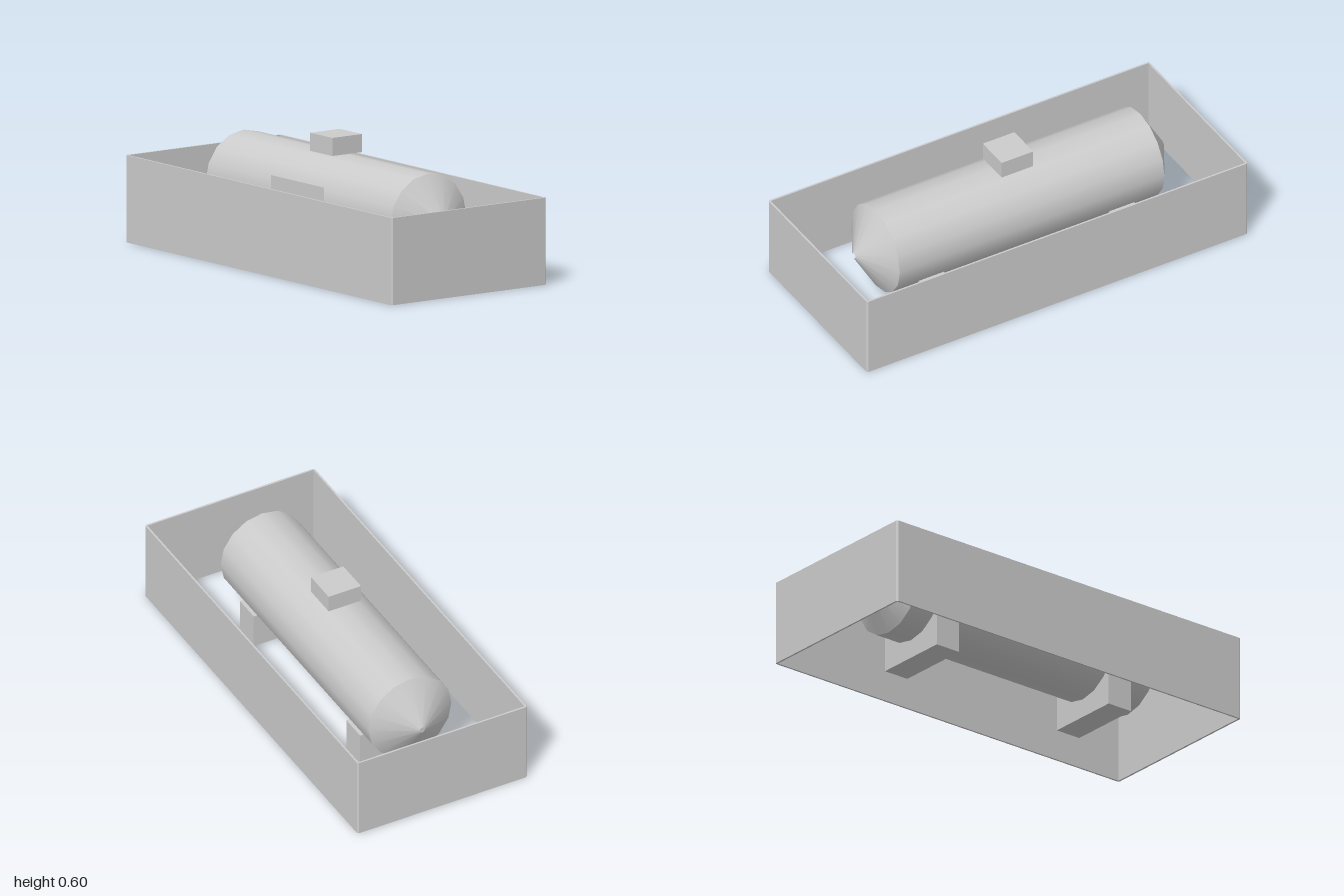
import * as THREE from 'three';

const AXIS_Y = 0.3;     // height of the tank axis
const RADIUS = 0.213;
const HALF_BODY = 0.695; // half length of the straight shell
const TIP = 0.81;       // end of the cones
const WALL = 0.009;

export function createModel() {
  const model = new THREE.Group();
  model.name = 'tankInEnclosure';
  const grey = new THREE.MeshStandardMaterial({ color: 0xcccccc });
  grey.name = 'grey';

  const add = (name, geometry, x, y, z) => {
    const mesh = new THREE.Mesh(geometry, grey);
    mesh.name = name;
    mesh.position.set(x, y, z);
    model.add(mesh);
    return mesh;
  };
  const box = (name, w, h, d, x, y, z) => add(name, new THREE.BoxGeometry(w, h, d), x, y, z);

  // Enclosure: a rectangular ring, open above and below, with tiny corner chamfers
  const w = 1, d = 0.436, c = 0.007;
  const outline = new THREE.Shape([
    [-w + c, -d], [w - c, -d], [w, -d + c], [w, d - c],
    [w - c, d], [-w + c, d], [-w, d - c], [-w, -d + c],
  ].map(([x, y]) => new THREE.Vector2(x, y)));
  const iw = w - WALL, id = d - WALL;
  outline.holes.push(new THREE.Path([
    [-iw, -id], [-iw, id], [iw, id], [iw, -id],
  ].map(([x, y]) => new THREE.Vector2(x, y))));
  const ring = new THREE.ExtrudeGeometry(outline, { depth: 0.4, bevelEnabled: false });
  ring.rotateX(-Math.PI / 2);
  add('enclosureWalls', ring, 0, 0, 0);

  // Tank shell lying along x
  const shell = new THREE.CylinderGeometry(RADIUS, RADIUS, HALF_BODY * 2, 16, 1, true);
  shell.rotateZ(-Math.PI / 2);
  add('tankShell', shell, 0, AXIS_Y, 0);

  for (const side of [1, -1]) {
    const label = side > 0 ? 'left' : 'right';

    // Conical tank end with a small open tip
    const cone = new THREE.CylinderGeometry(0.014, RADIUS, TIP - HALF_BODY, 16, 1, true);
    cone.rotateZ(-side * Math.PI / 2);
    add(label + 'TankEnd', cone, side * (HALF_BODY + TIP) / 2, AXIS_Y, 0);

    // Support block under the tank
    box(label + 'Saddle', 0.13, 0.17, 0.37, side * 0.5, 0.085, 0);
  }

  // Valve box on top
  box('valveBox', 0.166, 0.083, 0.166, 0, 0.555, 0);

  // Flat plate on the front of the tank
  add('frontPlate', new THREE.PlaneGeometry(0.4, 0.2), 0, AXIS_Y, RADIUS + 0.004);

  return model;
}
